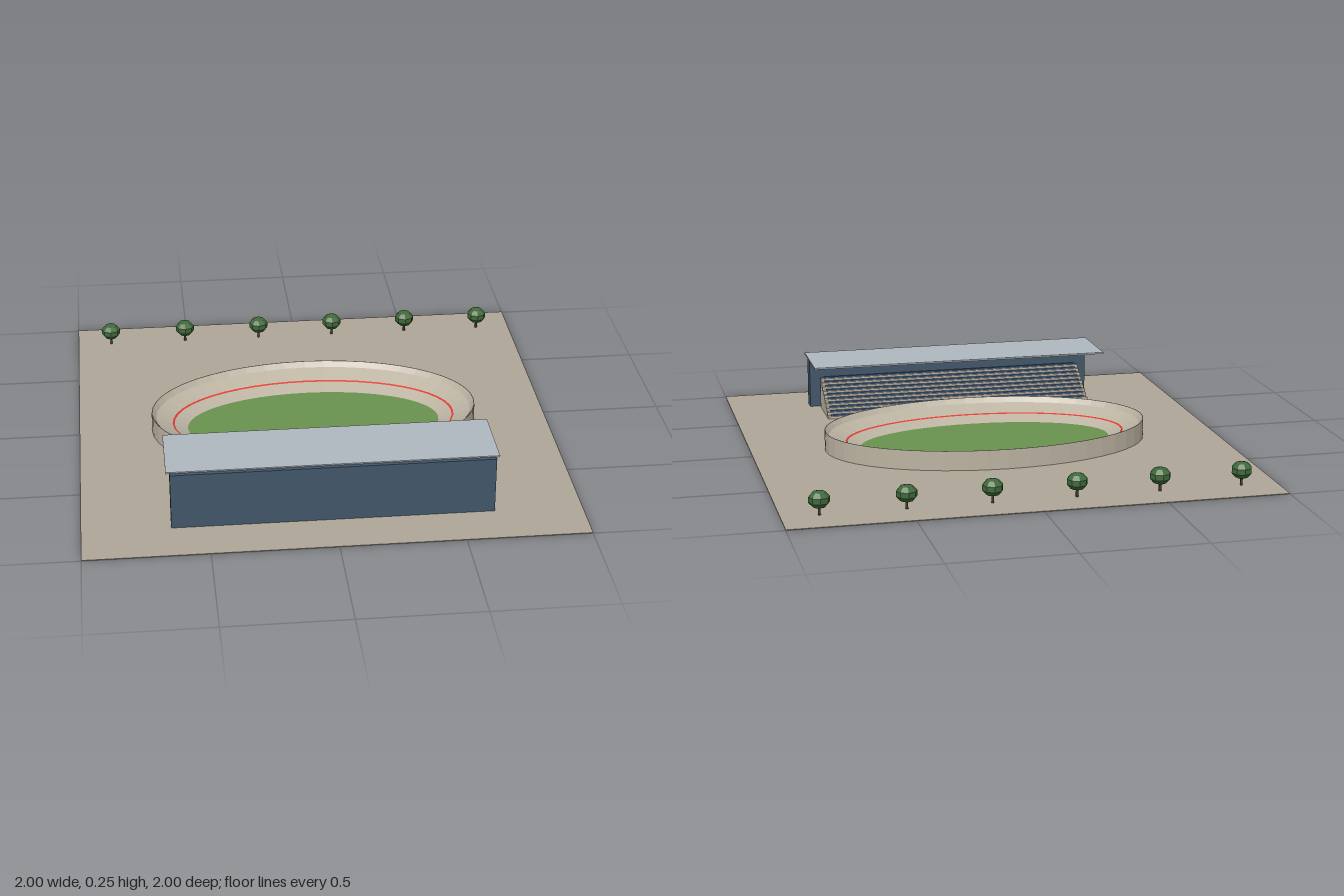
import * as THREE from 'three';

const paint = (name, color) => Object.assign(new THREE.MeshStandardMaterial({ color }), { name });

// Oval band: profile points are [offset outwards from the pitch edge, height]
const PITCH_X = 0.54, PITCH_Z = 0.27;
function ovalBand(profile, segments = 48) {
  const positions = [], index = [], n = profile.length;
  for (let i = 0; i <= segments; i++) {
    const a = (i / segments) * Math.PI * 2;
    for (const [offset, y] of profile) {
      positions.push((PITCH_X + offset) * Math.cos(a), y, (PITCH_Z + offset) * Math.sin(a));
    }
  }
  for (let i = 0; i < segments; i++) {
    for (let j = 0; j < n - 1; j++) {
      const a = i * n + j, b = a + 1, d = a + n, c = d + 1;
      index.push(a, d, b, d, c, b);
    }
  }
  const g = new THREE.BufferGeometry();
  g.setAttribute('position', new THREE.Float32BufferAttribute(positions, 3));
  g.setIndex(index);
  const flat = g.toNonIndexed();
  flat.computeVertexNormals();
  return flat;
}

export function createModel() {
  const model = new THREE.Group();
  model.name = 'stadium';

  const paving = paint('paving', 0xaea698);
  const concrete = paint('concrete', 0xbcb3a2);
  const grass = paint('grass', 0x69934f);
  const red = paint('red line', 0xe03a30);
  const navy = paint('wall blue', 0x425669);
  const roofGrey = paint('roof grey', 0xb0b8c0);
  const seatBlue = paint('seat blue', 0x4a6a94);
  const leaf = paint('leaf green', 0x40693a);
  const bark = paint('bark', 0x44382c);

  const add = (parent, name, geometry, material, x = 0, y = 0, z = 0) => {
    const mesh = new THREE.Mesh(geometry, material);
    mesh.name = name;
    mesh.position.set(x, y, z);
    parent.add(mesh);
    return mesh;
  };
  // Box given by its lower and upper limits in y and z, centred on x
  const slab = (parent, name, material, width, y0, y1, z0, z1) =>
    add(parent, name, new THREE.BoxGeometry(width, y1 - y0, z1 - z0), material, 0, (y0 + y1) / 2, (z0 + z1) / 2);

  slab(model, 'ground', paving, 2, 0, 0.003, -1, 1);

  // Oval bowl: sloping inside, upright outer wall
  const bowl = new THREE.Group();
  bowl.name = 'bowl';
  model.add(bowl);
  add(bowl, 'bowlShell', ovalBand([[-0.01, 0.004], [0, 0.005], [0.06, 0.03], [0.133, 0.063], [0.15, 0.086], [0.152, 0.086], [0.152, 0.002]]), concrete);
  add(bowl, 'redLine', ovalBand([[0.056, 0.0305], [0.064, 0.034]]), red);
  const pitch = add(bowl, 'pitch', new THREE.CircleGeometry(1, 48), grass, 0, 0.007, 0);
  pitch.rotation.x = -Math.PI / 2;
  pitch.scale.set(PITCH_X, PITCH_Z, 1);

  // Grandstand: stepped terrace with seat rows, back wall and flat roof
  const stand = new THREE.Group();
  stand.name = 'grandstand';
  model.add(stand);
  const STEPS = 10, RISE = 0.0138, TREAD = 0.022, FRONT = 0.5;
  const outline = new THREE.Shape();
  outline.moveTo(FRONT, 0.002);
  for (let i = 0; i < STEPS; i++) {
    outline.lineTo(FRONT + i * TREAD, (i + 1) * RISE);
    outline.lineTo(FRONT + (i + 1) * TREAD, (i + 1) * RISE);
  }
  outline.lineTo(FRONT + STEPS * TREAD, 0.002);
  const terrace = new THREE.ExtrudeGeometry(outline, { depth: 1.2, bevelEnabled: false });
  terrace.rotateY(-Math.PI / 2).translate(0.6, 0, 0);
  add(stand, 'terrace', terrace, concrete);
  for (let i = 0; i < STEPS; i++) {
    const z = FRONT + i * TREAD, y = (i + 1) * RISE;
    slab(stand, 'seatRow', seatBlue, 1.17, y, y + 0.006, z + 0.006, z + 0.018);
  }
  slab(stand, 'backWall', navy, 1.29, 0, 0.24, 0.735, 0.798);
  slab(stand, 'roof', roofGrey, 1.32, 0.238, 0.245, 0.477, 0.78);

  // Row of trees along the back
  for (let i = 0; i < 6; i++) {
    const tree = new THREE.Group();
    tree.name = 'tree';
    tree.position.set(-0.85 + i * 0.34, 0, -0.85);
    model.add(tree);
    add(tree, 'trunk', new THREE.CylinderGeometry(0.005, 0.006, 0.045, 6), bark, 0, 0.0225, 0);
    const crown = new THREE.SphereGeometry(0.044, 8, 5).toNonIndexed();
    crown.scale(1, 0.82, 1);
    crown.computeVertexNormals();
    add(tree, 'crown', crown, leaf, 0, 0.066, 0);
  }
  return model;
}
